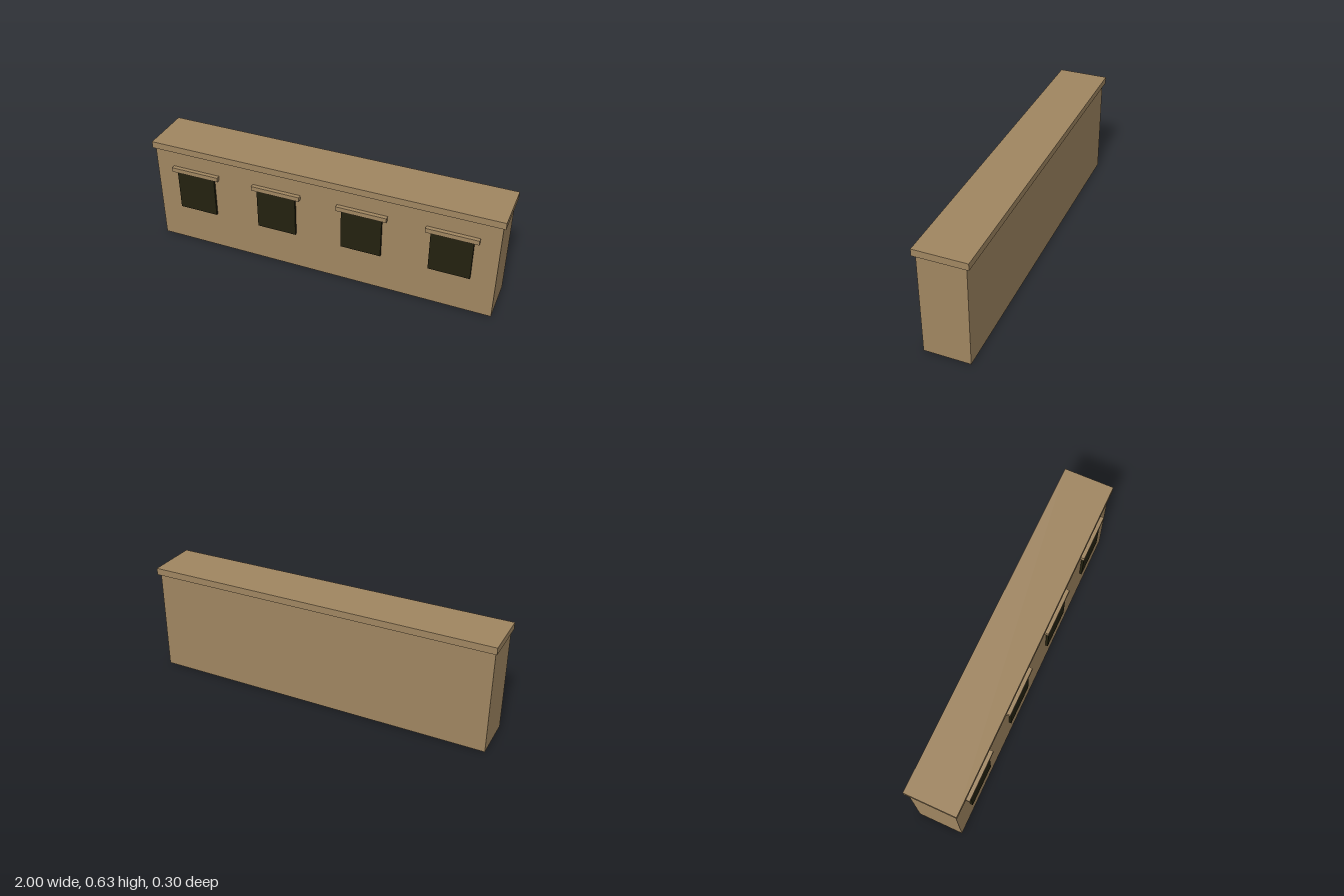
import * as THREE from 'three';

export function createModel() {
  const model = new THREE.Group();
  model.name = 'building';

  const stone = new THREE.MeshStandardMaterial({ color: 0xa08661, side: THREE.DoubleSide });
  stone.name = 'tan stone';
  const glass = new THREE.MeshStandardMaterial({ color: 0x23210f });
  glass.name = 'dark glass';

  // Box given by its extents on each axis
  function block(name, material, [x0, x1], [y0, y1], [z0, z1], parent = model) {
    const mesh = new THREE.Mesh(new THREE.BoxGeometry(x1 - x0, y1 - y0, z1 - z0), material);
    mesh.position.set((x0 + x1) / 2, (y0 + y1) / 2, (z0 + z1) / 2);
    mesh.name = name;
    parent.add(mesh);
    return mesh;
  }

  // Walls: a hollow shell, open at the bottom and capped by the roof slab
  const walls = block('walls', stone, [-0.99, 0.987], [0, 0.592], [-0.131, 0.127]);
  const index = Array.from(walls.geometry.index.array);
  index.splice(12, 12); // drop top and bottom faces
  walls.geometry.setIndex(index);
  walls.geometry.clearGroups();

  // Overhanging roof slab
  block('roof', stone, [-1, 1], [0.592, 0.631], [-0.148, 0.143]);

  // Windows with lintels along the front
  for (const x of [-0.742, -0.25, 0.246, 0.739]) {
    const unit = new THREE.Group();
    unit.name = 'windowUnit';
    unit.position.x = x;
    model.add(unit);
    block('window', glass, [-0.114, 0.114], [0.228, 0.465], [0.127, 0.141], unit);
    block('lintel', stone, [-0.142, 0.142], [0.465, 0.491], [0.127, 0.15], unit);
  }

  return model;
}
